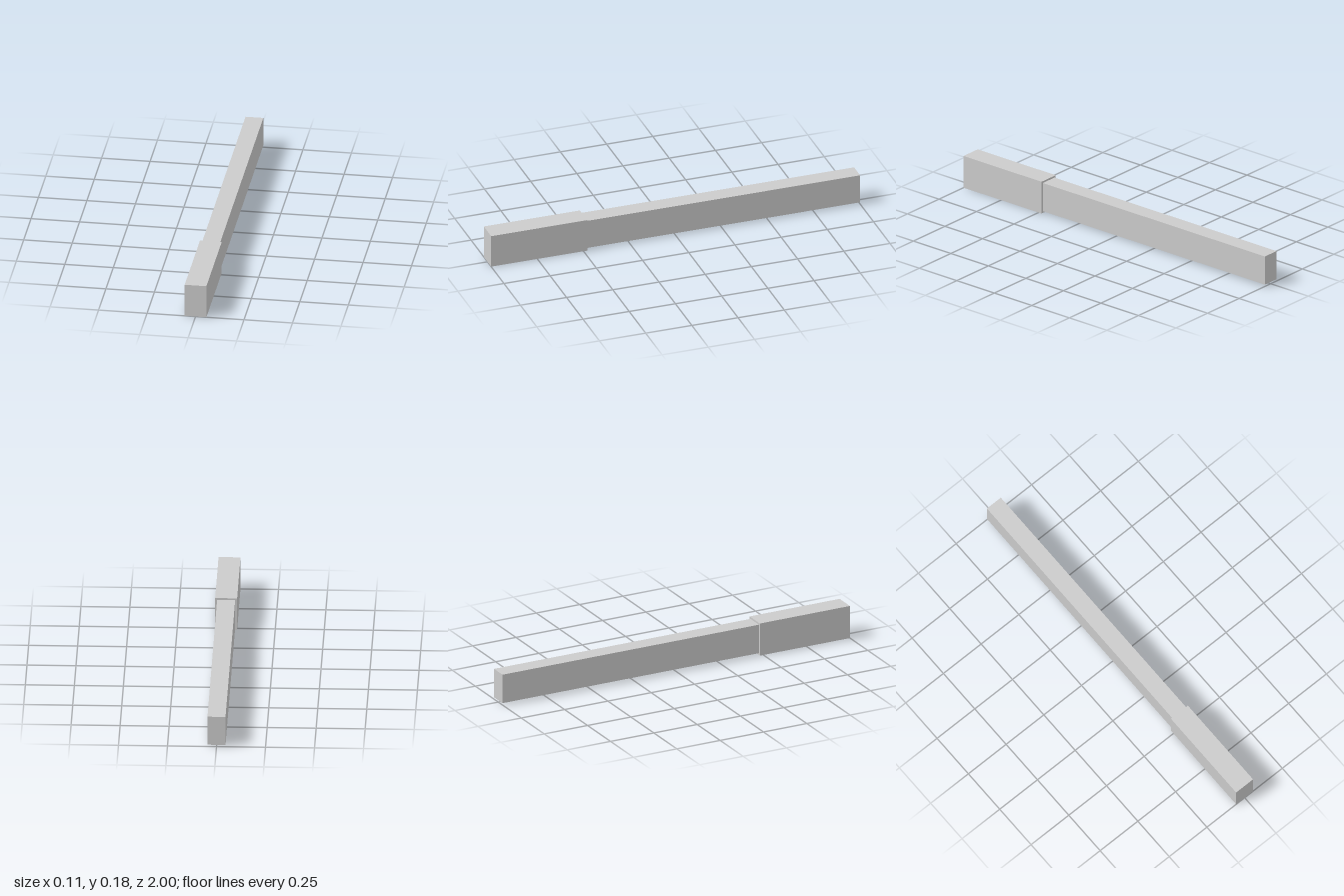
import * as THREE from 'three';

const material = new THREE.MeshStandardMaterial({ color: 0xcccccc, flatShading: true });
const HEIGHT = 0.176;

// Square-edged bar running along z between two ends, centred on the shared axis
function bar(name, width, height, zBack, zFront) {
  const mesh = new THREE.Mesh(new THREE.BoxGeometry(width, height, zFront - zBack), material);
  mesh.name = name;
  mesh.position.set(0, HEIGHT / 2, (zBack + zFront) / 2);
  return mesh;
}

export function createModel() {
  const group = new THREE.Group();
  group.name = 'sleevedBeam';
  // Long slim beam, butting against the thicker sleeve at the front
  group.add(bar('beam', 0.092, 0.156, -1, 0.48));
  group.add(bar('sleeve', 0.112, HEIGHT, 0.48, 1));
  return group;
}
